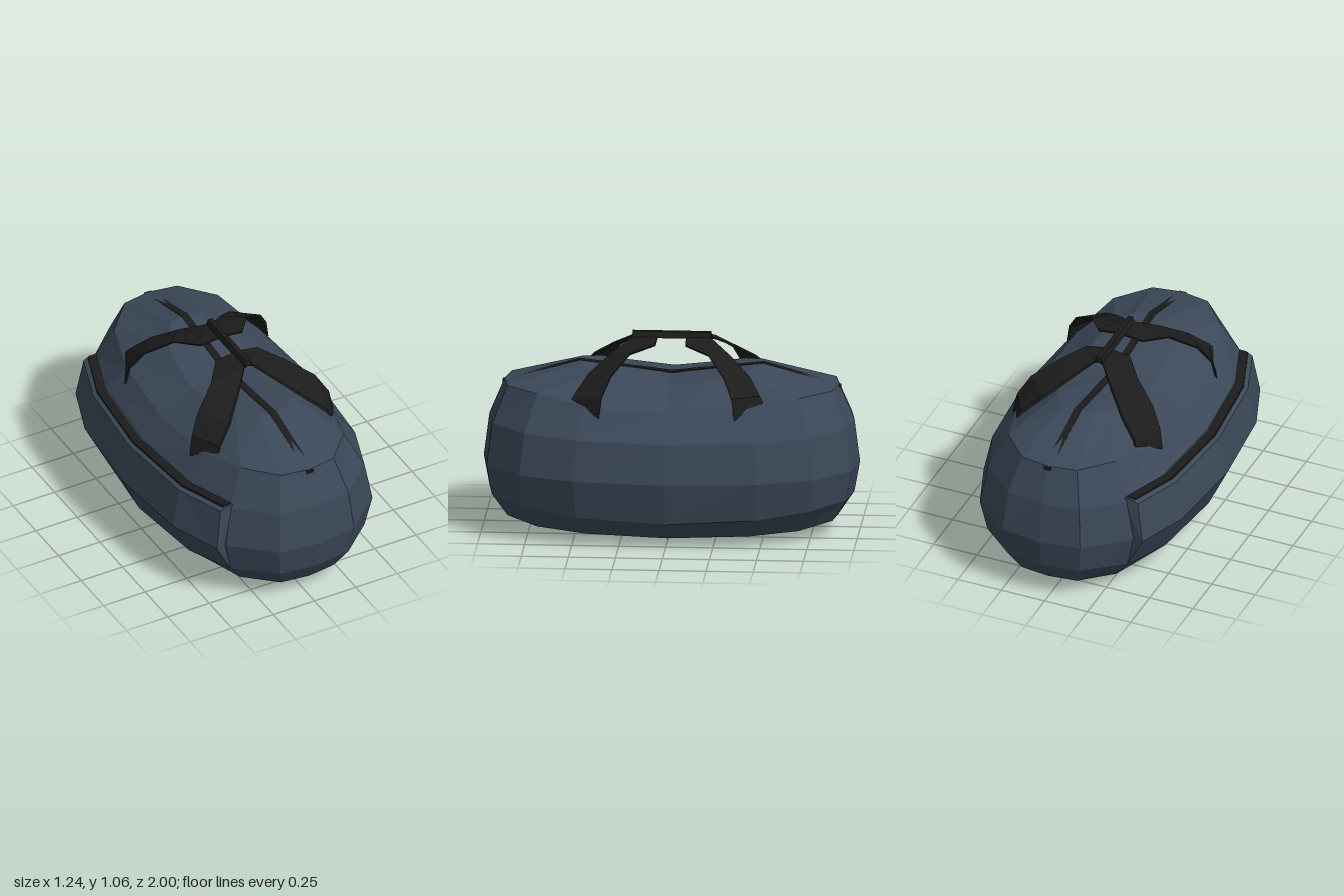
import * as THREE from 'three';

const fabric = new THREE.MeshStandardMaterial({ color: 0x3b4858, flatShading: true });
const webbing = new THREE.MeshStandardMaterial({ color: 0x1c1c1c, flatShading: true, side: THREE.DoubleSide });

// Skins rows of points whose columns wrap around; optionally caps both ends
function loft(name, rows, material, caps = true) {
  const n = rows[0].length, last = (rows.length - 1) * n, index = [];
  for (let r = 0; r < rows.length - 1; r++) {
    for (let c = 0; c < n; c++) {
      const a = r * n + c, b = r * n + (c + 1) % n;
      index.push(a, b, b + n, a, b + n, a + n);
    }
  }
  if (caps) {
    for (let i = 1; i < n - 1; i++) index.push(0, i + 1, i, last, last + i, last + i + 1);
  }
  const indexed = new THREE.BufferGeometry();
  indexed.setAttribute('position', new THREE.Float32BufferAttribute(rows.flat(2), 3));
  indexed.setIndex(index);
  const geometry = indexed.toNonIndexed();
  geometry.computeVertexNormals();
  const mesh = new THREE.Mesh(geometry, material);
  mesh.name = name;
  return mesh;
}

// Quarter of the plan outline, from the end of the bag round to its side
const planX = [0, 0.225, 0.44, 0.545, 0.59];
const planZ = [1, 0.97, 0.78, 0.49, 0];

// Rings from bottom to top: x scale, z scale, heights along the quarter
const rings = [
  [0, 0, [0.02, 0.02, 0.02, 0.02, 0.02]],
  [0.38, 0.49, [0, 0, 0, 0, 0]],
  [0.71, 0.89, [0.085, 0.08, 0.06, 0.045, 0.035]],
  [0.92, 0.97, [0.205, 0.205, 0.19, 0.16, 0.14]],
  [1, 1, [0.37, 0.37, 0.37, 0.367, 0.365]],
  [0.92, 0.97, [0.6, 0.595, 0.59, 0.58, 0.575]],
  [0.71, 0.89, [0.79, 0.79, 0.785, 0.74, 0.71]],
  [0.38, 0.49, [0.9, 0.898, 0.88, 0.85, 0.82]],
  [0, 0, [0.84, 0.84, 0.84, 0.84, 0.84]],
];

// Point on the bag: ring number, and one of 16 steps round from the front
function bagPoint(ring, step) {
  const [sx, sz, heights] = rings[ring];
  const half = step <= 8 ? step : 16 - step;
  const q = half <= 4 ? half : 8 - half;
  return [
    planX[q] * sx * (step <= 8 ? 1 : -1),
    heights[q],
    planZ[q] * sz * (half <= 4 ? 1 : -1),
  ];
}

const shift = ([x, y, z], dx, dy = 0) => [x + dx, y + dy, z];

function createBody() {
  const rows = rings.map((_, r) => Array.from({ length: 16 }, (_, s) => bagPoint(r, s)));
  return loft('bagBody', rows, fabric, false);
}

// Side pocket swelling out of the bag's right flank, with a zip along its top
function createPocket() {
  const pocket = new THREE.Group();
  pocket.name = 'sidePocket';
  const panel = [], zip = [];
  for (let step = 10; step <= 14; step++) {
    const low = bagPoint(3, step), mid = bagPoint(4, step), top = bagPoint(5, step);
    panel.push([shift(top, 0.03, 0.02), shift(top, -0.025, 0.02), shift(top, -0.06), shift(mid, -0.06), low]);
    const z = top[2] * 0.985;
    zip.push([[0.01, 0.024], [-0.04, 0.024], [-0.04, 0.01], [0.01, 0.01]]
      .map(([dx, dy]) => [top[0] + dx, top[1] + dy, z]));
  }
  pocket.add(loft('pocketPanel', panel, fabric), loft('pocketZip', zip, webbing));
  return pocket;
}

// Main zip following the sagging top of the bag
function createZip() {
  const path = [[-0.9, 0.785], [-0.49, 0.902], [0, 0.845], [0.49, 0.902], [0.9, 0.785]];
  const rows = path.map(([z, y]) => [
    [0.02, y, z], [-0.02, y, z], [-0.02, y - 0.015, z], [0.02, y - 0.015, z],
  ]);
  return loft('mainZip', rows, webbing);
}

// Carrying strap: a twisting ribbon given by its inner and outer edges
function createStrap(name) {
  const inner = [[0.435, 0.69, 0.36], [0.415, 0.8, 0.345], [0.355, 0.9, 0.3],
    [0.225, 0.99, 0.21], [0.125, 1.02, 0.08], [0, 1.037, 0.075]];
  const outer = [[0.345, 0.77, 0.51], [0.33, 0.8, 0.49], [0.235, 0.88, 0.43],
    [0.125, 0.965, 0.32], [0.025, 1.03, 0.215], [0, 1.037, 0.21]];
  const section = (i, side) => {
    const a = [inner[i][0] * side, inner[i][1], inner[i][2]];
    const b = [outer[i][0] * side, outer[i][1], outer[i][2]];
    const dx = i < 4 ? -0.01 * side : 0;
    return [b, a, shift(a, dx, -0.01), shift(b, dx, -0.01)];
  };
  const rows = [];
  for (let i = 0; i < 6; i++) rows.push(section(i, 1));
  for (let i = 4; i >= 0; i--) rows.push(section(i, -1));
  return loft(name, rows, webbing);
}

// Narrow grip joining the two straps
function createGrip() {
  const rows = [-0.21, 0.21].map((z) => [
    [0.013, 1.062, z], [-0.013, 1.062, z], [-0.025, 1.028, z], [0.025, 1.028, z],
  ]);
  return loft('handleGrip', rows, webbing);
}

export function createModel() {
  const model = new THREE.Group();
  model.name = 'duffelBag';
  const backStrap = createStrap('backStrap');
  backStrap.rotation.y = Math.PI;
  model.add(createBody(), createPocket(), createZip(), createStrap('frontStrap'), backStrap, createGrip());
  // The pocket makes one side wider, so the bag sits slightly off centre
  for (const part of model.children) part.position.x = 0.03;
  return model;
}
